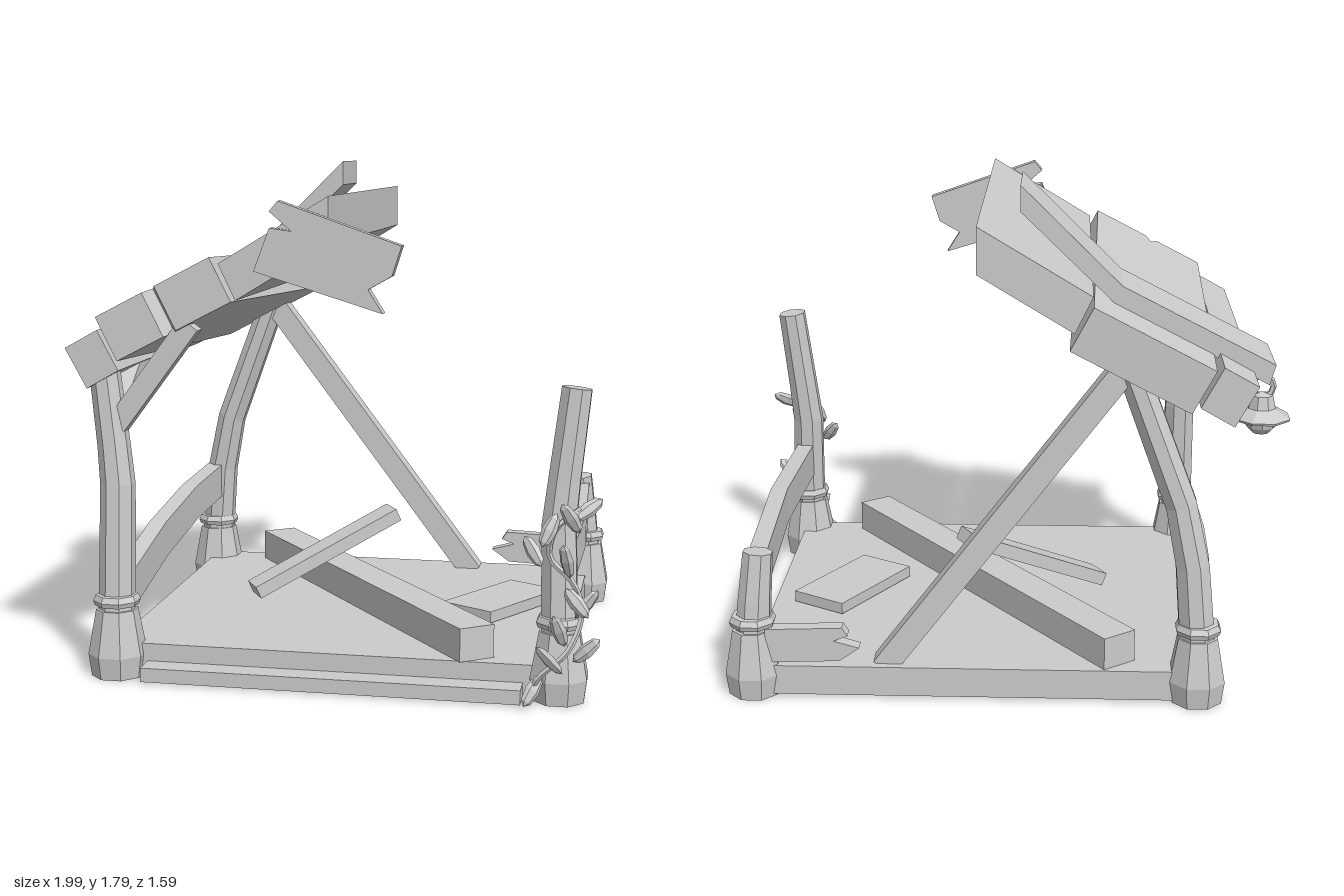
import * as THREE from 'three';

const V = (x, y, z) => new THREE.Vector3(x, y, z);
const mat = new THREE.MeshStandardMaterial({ color: 0xcccccc, flatShading: true, side: THREE.DoubleSide });

export function createModel() {
  const root = new THREE.Group();
  const add = (name, geo) => {
    const m = new THREE.Mesh(geo, mat);
    m.name = name;
    root.add(m);
    return m;
  };

  // Sweep a convex section along a path; ref is the section's second axis
  function sweep(name, pts, section, ref, scales) {
    const path = pts.map(p => V(...p)), pos = [], idx = [], n = section.length, last = path.length - 1;
    path.forEach((p, i) => {
      const t = path[Math.min(i + 1, last)].clone().sub(path[Math.max(i - 1, 0)]).normalize();
      const side = ref.clone().cross(t).normalize(), up = t.clone().cross(side);
      const s = scales ? scales[i] : 1;
      for (const [a, b] of section) pos.push(...p.clone().addScaledVector(side, a * s).addScaledVector(up, b * s).toArray());
    });
    for (let i = 0; i < last; i++) for (let k = 0; k < n; k++) {
      const a = i * n + k, b = i * n + (k + 1) % n;
      idx.push(a, b, b + n, a, b + n, a + n);
    }
    for (let k = 1; k < n - 1; k++) idx.push(0, k + 1, k, last * n, last * n + k, last * n + k + 1);
    let g = new THREE.BufferGeometry();
    g.setAttribute('position', new THREE.Float32BufferAttribute(pos, 3));
    g.setIndex(idx);
    g = g.toNonIndexed();
    g.computeVertexNormals();
    return add(name, g);
  }
  const beam = (name, pts, w, h, ref) =>
    sweep(name, pts, [[-w / 2, -h / 2], [w / 2, -h / 2], [w / 2, h / 2], [-w / 2, h / 2]], ref);
  const shapeGeo = (pts, depth) =>
    new THREE.ExtrudeGeometry(new THREE.Shape(pts.map(p => new THREE.Vector2(...p))), { depth, bevelEnabled: false });
  // Outline in x,y stretched from z0 to z1
  const prism = (name, pts, z0, z1) => add(name, shapeGeo(pts, z1 - z0).translate(0, 0, z0));
  const X = V(1, 0, 0), Y = V(0, 1, 0), Z = V(0, 0, 1);

  // Floor and front step
  prism('floor', [[-0.7, 0.01], [0.88, 0.01], [0.88, 0.118], [-0.7, 0.118]], -0.74, 0.67);
  prism('frontStep', [[-0.58, 0.005], [0.745, 0.005], [0.745, 0.055], [-0.58, 0.055]], 0.67, 0.76);

  // Posts with flared feet and collars
  const octagon = Array.from({ length: 8 }, (_, k) => {
    const a = (k + 0.5) * Math.PI / 4;
    return [Math.cos(a), Math.sin(a)];
  });
  const lathe = pts => new THREE.LatheGeometry(pts.map(p => new THREE.Vector2(...p)), 8, Math.PI / 8);
  const posts = {
    frontRight: [[-0.69, 0.2, 0.665], [-0.69, 0.68, 0.63], [-0.705, 0.82, 0.62], [-0.745, 1.12, 0.6]],
    backRight: [[-0.69, 0.2, -0.7], [-0.665, 0.5, -0.69], [-0.62, 0.72, -0.68], [-0.43, 1.23, -0.67]],
    backLeft: [[0.87, 0.2, -0.69], [0.86, 0.35, -0.685], [0.845, 0.52, -0.67]],
    frontLeft: [[0.865, 0.2, 0.65], [0.855, 0.6, 0.625], [0.87, 0.75, 0.615], [0.905, 1.06, 0.6]],
  };
  for (const [name, pts] of Object.entries(posts)) {
    sweep(name + 'Post', pts, octagon, X, pts.map((_, i) => 0.066 - 0.012 * i / (pts.length - 1)));
    const [x, , z] = pts[0];
    add(name + 'Foot', lathe([[0, 0], [0.093, 0], [0.104, 0.08], [0.074, 0.24], [0, 0.24]])).position.set(x, 0, z);
    add(name + 'Collar', lathe([[0.055, 0.25], [0.078, 0.255], [0.084, 0.272], [0.074, 0.292], [0.05, 0.295]])).position.set(x, 0, z);
  }

  // Side rails and the broken rail at the back
  beam('leftRail', [[0.855, 0.43, -0.66], [0.88, 0.445, 0], [0.865, 0.43, 0.62]], 0.065, 0.13, Y);
  beam('rightRail', [[-0.69, 0.45, -0.67], [-0.7, 0.425, -0.3], [-0.7, 0.37, 0.13], [-0.69, 0.27, 0.64]], 0.065, 0.135, Y);
  prism('brokenRail', [[0.82, 0.13], [0.82, 0.255], [0.55, 0.265], [0.53, 0.235], [0.58, 0.215], [0.49, 0.19], [0.56, 0.14]], -0.74, -0.69);

  // Braces under the roof
  beam('longBrace', [[0.41, 0.1, -0.67], [-0.42, 1.2, -0.67]], 0.085, 0.08, Z);
  beam('frontBrace', [[-0.69, 0.89, 0.615], [-0.42, 1.25, 0.615]], 0.075, 0.06, Z);
  beam('sideBrace', [[-0.71, 0.88, 0.6], [-0.71, 1.11, 0.28]], 0.075, 0.06, X);

  // Roof boards
  prism('upperRoofBoard', [[-0.31, 1.46], [-0.25, 1.335], [0.073, 1.53], [0.073, 1.69]], -0.757, 0.665);
  prism('lowerRoofBoard', [[-0.862, 1.16], [-0.785, 1.02], [-0.67, 1.085], [-0.745, 1.225]], -0.757, 0.665);
  // Sagging middle board with a notch in its front end
  const w = 0.46, d = 1.425;
  const middle = shapeGeo([[0, 0], [0.19, 0], [0.215, 0.06], [0.24, 0], [w, 0], [w, d], [0, d]], 0.17);
  middle.rotateX(-Math.PI / 2).translate(0, -0.17, 0).rotateX(-0.045).rotateZ(0.478).translate(-0.75, 1.27, 0.665);
  add('middleRoofBoard', middle);
  // Bent plank lying over the boards
  prism('bentRoofPlank', [[-0.935, 1.185], [-0.915, 1.115], [-0.39, 1.39], [-0.065, 1.705], [-0.065, 1.795], [-0.41, 1.455]], -0.575, -0.29);
  // Splintered plank hanging on the front
  prism('hangingPlank', [[-0.1, 1.675], [-0.17, 1.44], [0.27, 1.305], [0.22, 1.385], [0.3, 1.43], [0.332, 1.53],
    [-0.085, 1.675], [-0.115, 1.64], [-0.04, 1.575], [-0.115, 1.585]].slice(1), 0.68, 0.728);

  // Fallen planks
  beam('fallenBeam', [[-0.42, 0.177, -0.69], [0.585, 0.177, 0.645]], 0.135, 0.117, Y);
  beam('leaningPlank', [[-0.35, 0.16, 0.03], [0.145, 0.425, -0.26]], 0.11, 0.05, Y);
  beam('flatPlank', [[0.485, 0.143, 0.135], [0.705, 0.143, -0.24]], 0.225, 0.042, Y);

  // Hanging bell under the eave
  const bell = new THREE.Group();
  bell.name = 'bell';
  const part = (name, geo, x, y, z) => {
    const m = new THREE.Mesh(geo, mat);
    m.name = name;
    m.position.set(x, y, z);
    bell.add(m);
  };
  part('bellCap', lathe([[0, 0.095], [0.04, 0.085], [0.05, 0.04], [0.103, 0.008], [0.1, 0], [0, 0]]), 0, 0.985, 0);
  part('bellBall', new THREE.SphereGeometry(0.058, 8, 6), 0, 0.985, 0);
  part('bellLoop', new THREE.TorusGeometry(0.038, 0.011, 5, 10), 0, 1.1, 0);
  bell.position.set(-0.895, 0, -0.535);
  root.add(bell);

  // Vine climbing the front post
  const vine = new THREE.CatmullRomCurve3([[0.77, 0.02, 0.74], [0.8, 0.1, 0.765], [0.9, 0.2, 0.755], [0.94, 0.32, 0.70],
    [0.91, 0.42, 0.71], [0.83, 0.5, 0.69], [0.85, 0.6, 0.705], [0.93, 0.67, 0.69]].map(p => V(...p)));
  add('vineStem', new THREE.TubeGeometry(vine, 28, 0.01, 5));
  const leaves = [[0.775, 0.52, 0.7, 0.6], [0.9, 0.64, 0.72, 0.5], [0.955, 0.665, 0.68, -0.9], [0.89, 0.5, 0.74, 0.2],
    [0.925, 0.36, 0.74, 0.7], [0.955, 0.345, 0.69, -0.7], [0.96, 0.2, 0.74, -0.9], [0.87, 0.27, 0.77, 0.3],
    [0.785, 0.06, 0.765, -0.5], [0.84, 0.17, 0.775, 0.9], [0.83, 0.6, 0.73, -0.4]];
  leaves.forEach(([x, y, z, tilt], i) => {
    const leaf = add('vineLeaf', new THREE.SphereGeometry(1, 6, 4));
    leaf.scale.set(0.026, 0.062, 0.014);
    leaf.position.set(x, y, z);
    leaf.rotation.set(i % 2 ? 0.3 : -0.3, 0.4 * ((i % 3) - 1), tilt);
  });
  return root;
}
